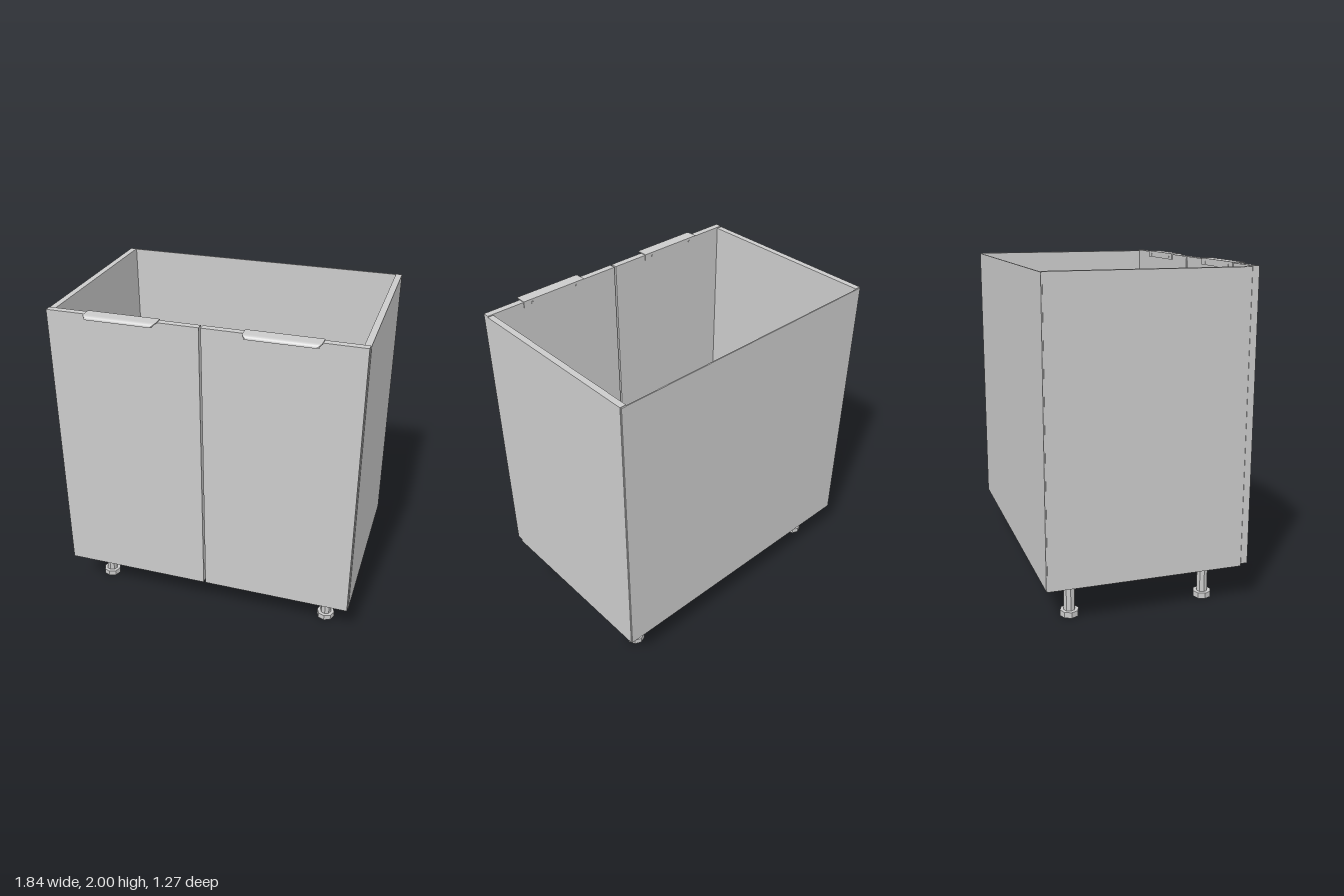
import * as THREE from 'three';

const material = new THREE.MeshStandardMaterial({ color: 0xcccccc });
const flatMaterial = new THREE.MeshStandardMaterial({ color: 0xcccccc, flatShading: true });

function add(parent, name, geometry, x = 0, y = 0, z = 0, mat = material) {
  const mesh = new THREE.Mesh(geometry, mat);
  mesh.name = name;
  mesh.position.set(x, y, z);
  parent.add(mesh);
  return mesh;
}

// Box given by its limits on each axis
function panel(parent, name, [x0, x1], [y0, y1], [z0, z1]) {
  return add(parent, name, new THREE.BoxGeometry(x1 - x0, y1 - y0, z1 - z0),
    (x0 + x1) / 2, (y0 + y1) / 2, (z0 + z1) / 2);
}

// Bent sheet pull: rear flange, flat top and curled front lip with rounded corners
function handleGeometry(width) {
  const t = 0.005, zc = 0.613, yc = 1.978, r = 0.022;
  const s = new THREE.Shape();
  s.moveTo(0.545, 1.96);
  s.lineTo(0.55, 1.96);
  s.lineTo(0.55, 2 - t);
  s.lineTo(zc, 2 - t);
  s.absarc(zc, yc, r - t, Math.PI / 2, 0, true);
  s.lineTo(zc + r, yc);
  s.absarc(zc, yc, r, 0, Math.PI / 2, false);
  s.lineTo(0.545, 2);
  s.closePath();
  const g = new THREE.ExtrudeGeometry(s, { depth: width, bevelEnabled: false, curveSegments: 8 });
  g.translate(0, 0, -width / 2);
  g.rotateY(-Math.PI / 2);
  // Pull the ends in towards the lip
  const p = g.attributes.position, corner = 0.03, start = zc + r - corner;
  for (let i = 0; i < p.count; i++) {
    const d = Math.min(Math.max(p.getZ(i) - start, 0), corner);
    const inset = corner - Math.sqrt(corner * corner - d * d);
    p.setX(i, p.getX(i) - Math.sign(p.getX(i)) * inset);
  }
  g.computeVertexNormals();
  return g;
}

export function createModel() {
  const model = new THREE.Group();
  model.name = 'baseCabinet';

  // Open-topped carcass
  const carcass = new THREE.Group();
  carcass.name = 'carcass';
  model.add(carcass);
  panel(carcass, 'bottomPanel', [-0.884, 0.884], [0.237, 0.275], [-0.627, 0.547]);
  panel(carcass, 'backPanel', [-0.918, 0.918], [0.24, 1.987], [-0.634, -0.627]);
  panel(carcass, 'leftSide', [0.884, 0.922], [0.237, 1.99], [-0.627, 0.547]);
  panel(carcass, 'rightSide', [-0.922, -0.884], [0.237, 1.99], [-0.627, 0.547]);

  const handle = handleGeometry(0.435);
  const screw = new THREE.CylinderGeometry(0.008, 0.008, 0.004, 12).rotateX(Math.PI / 2);
  const post = new THREE.CylinderGeometry(0.034, 0.034, 0.205, 8);
  const foot = new THREE.CylinderGeometry(0.056, 0.056, 0.035, 8);

  for (const side of [1, -1]) {
    const label = side > 0 ? 'left' : 'right';

    // Door with its top-edge pull
    const door = new THREE.Group();
    door.name = label + 'Door';
    model.add(door);
    panel(door, 'doorPanel', side > 0 ? [0.006, 0.919] : [-0.919, -0.006], [0.25, 1.995], [0.55, 0.591]);
    add(door, 'handle', handle, side * 0.462);
    for (const dx of [-0.16, 0.16]) {
      add(door, 'handleScrew', screw, side * 0.462 + dx, 1.977, 0.544);
    }

    // Front and rear adjustable legs
    for (const [end, z] of [['Front', 0.376], ['Rear', -0.46]]) {
      const leg = new THREE.Group();
      leg.name = label + end + 'Leg';
      leg.position.set(side * 0.755, 0, z);
      model.add(leg);
      add(leg, 'legPost', post, 0, 0.1375, 0, flatMaterial);
      add(leg, 'legFoot', foot, 0, 0.0175, 0, flatMaterial);
    }
  }
  return model;
}
